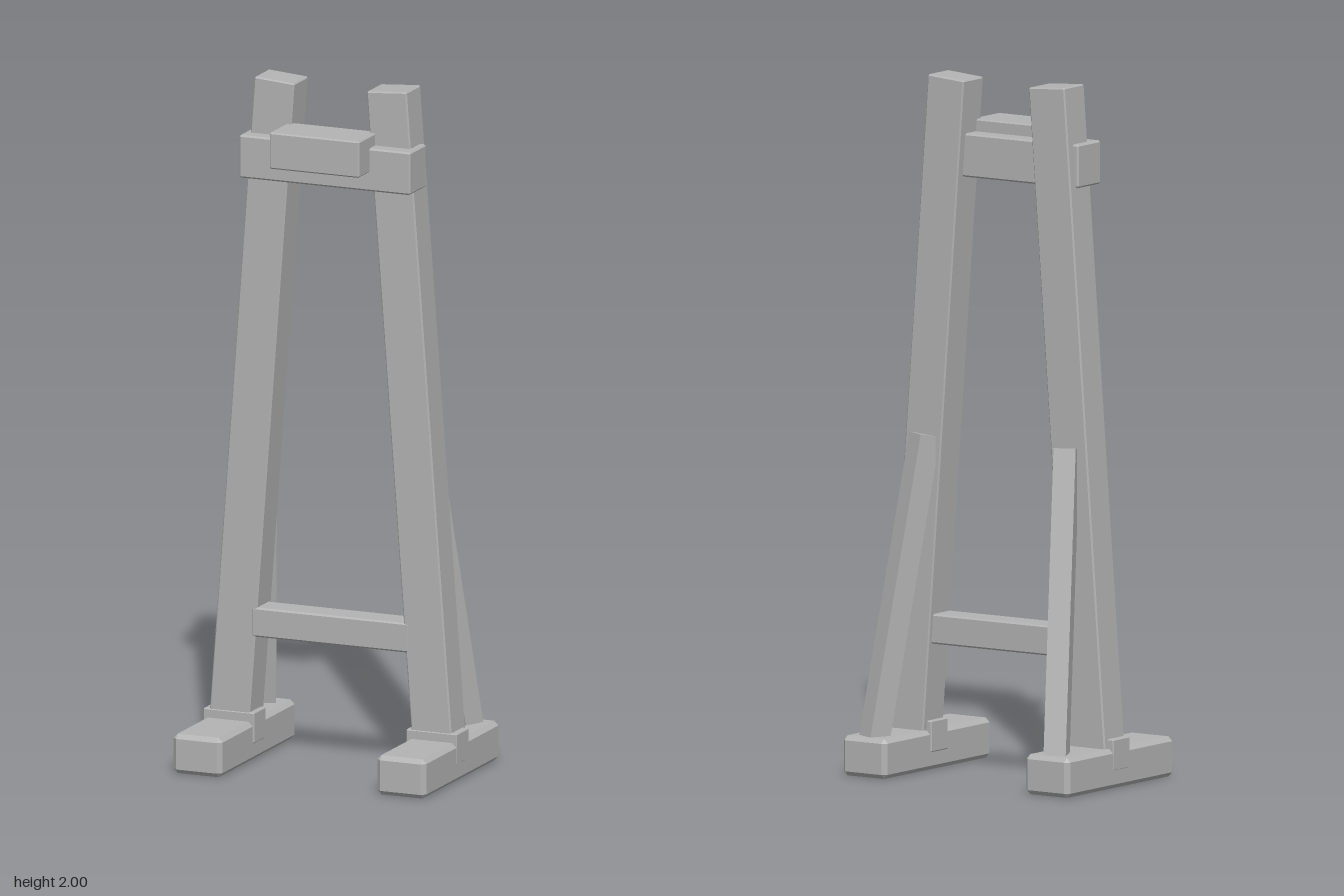
import * as THREE from 'three';
import { ConvexGeometry } from 'three/addons/geometries/ConvexGeometry.js';

// Box with every edge chamfered by b
function chamferBox(w, h, d, b) {
  const pts = [];
  for (const sx of [-1, 1]) for (const sy of [-1, 1]) for (const sz of [-1, 1]) {
    const x = w / 2, y = h / 2, z = d / 2;
    pts.push(
      new THREE.Vector3(sx * x, sy * (y - b), sz * (z - b)),
      new THREE.Vector3(sx * (x - b), sy * y, sz * (z - b)),
      new THREE.Vector3(sx * (x - b), sy * (y - b), sz * z));
  }
  return new ConvexGeometry(pts);
}

export function createModel() {
  const model = new THREE.Group();
  model.name = 'timberStand';
  const grey = new THREE.MeshStandardMaterial({ color: 0xb3b3b3 });
  grey.name = 'plain grey';

  const add = (name, geometry, x, y, z) => {
    const mesh = new THREE.Mesh(geometry, grey);
    mesh.name = name;
    mesh.position.set(x, y, z);
    model.add(mesh);
    return mesh;
  };

  for (const [side, s] of [['left', 1], ['right', -1]]) {
    // Foot and the collar around the post base
    add(side + 'Foot', chamferBox(0.152, 0.115, 0.53, 0.013), s * 0.316, 0.0575, 0);
    add(side + 'Collar', chamferBox(0.157, 0.09, 0.084, 0.003), s * 0.3145, 0.097, 0);

    // Post leaning inwards towards the top
    const lean = 0.0745, length = 1.92;
    const postGeometry = chamferBox(0.124, length, 0.1, 0.004);
    postGeometry.translate(0, -length / 2, 0);
    const post = add(side + 'Post', postGeometry, s * 0.174, 1.995, -0.01);
    post.rotation.z = s * lean;

    // Rear brace, hung from the middle of its upper back edge
    const braceGeometry = new THREE.BoxGeometry(0.064, 0.9, 0.065);
    braceGeometry.translate(0, -0.45, 0.0325);
    const brace = add(side + 'Brace', braceGeometry, s * 0.2585, 0.972, -0.09);
    brace.rotation.set(0.19, -s * 0.436, 0, 'YXZ');
  }

  // Rails joining the posts
  add('lowerRail', chamferBox(0.49, 0.086, 0.086, 0.005), 0, 0.407, -0.002);
  add('upperRail', chamferBox(0.53, 0.125, 0.115, 0.005), 0, 1.773, 0.0235);
  add('frontBlock', chamferBox(0.278, 0.106, 0.136, 0.004), 0, 1.818, 0.086);

  return model;
}
